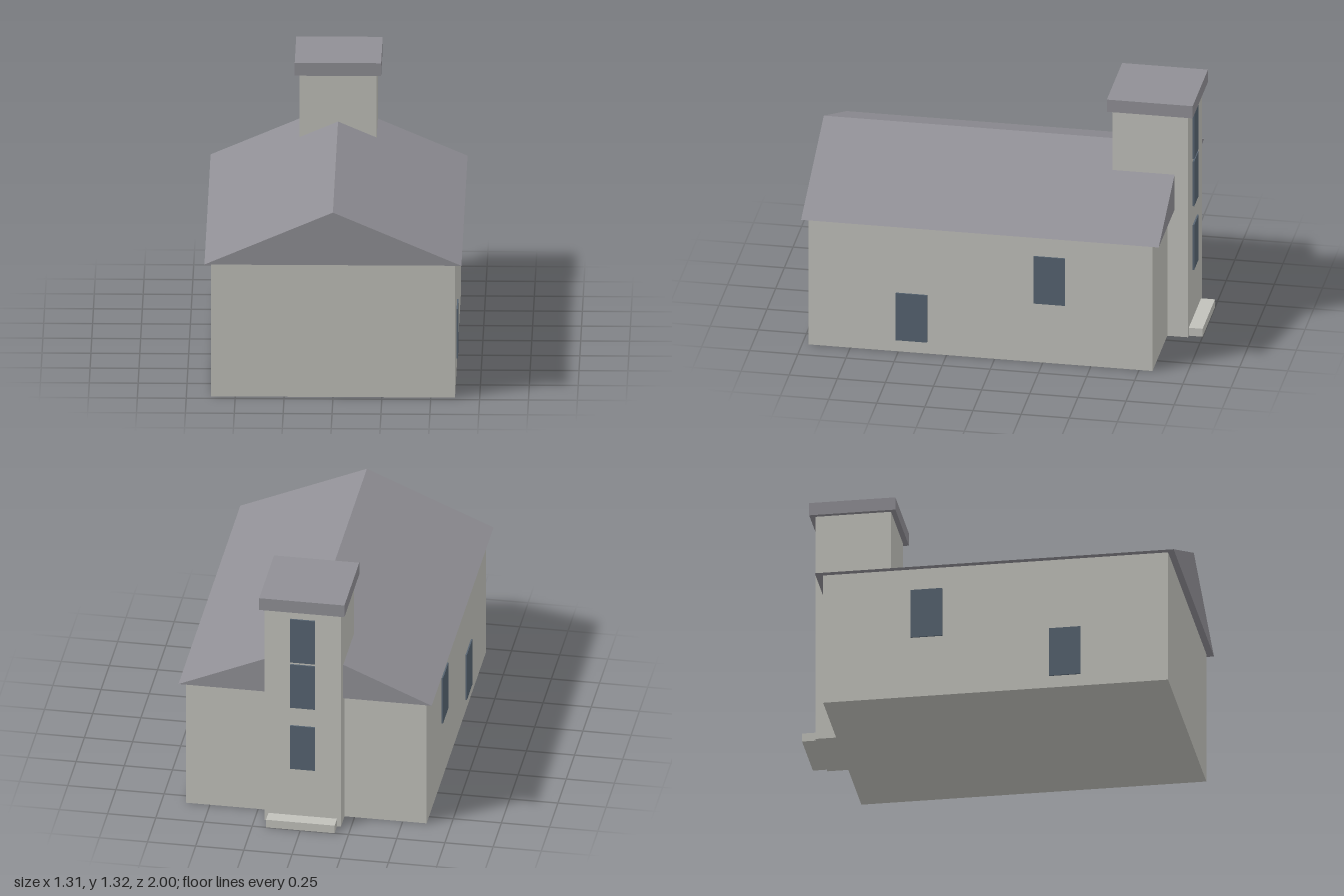
import * as THREE from 'three';

export function createModel() {
  const house = new THREE.Group();
  house.name = 'house';

  const mat = (name, color) => {
    const m = new THREE.MeshStandardMaterial({ color });
    m.name = name;
    return m;
  };
  const wall = mat('wall', 0xc0c0ba);
  const roof = mat('roof', 0x908f95);
  const glass = mat('glass', 0x566370);

  // Box given by its limits on each axis
  const box = (name, material, [x0, x1], [y0, y1], [z0, z1]) => {
    const mesh = new THREE.Mesh(new THREE.BoxGeometry(x1 - x0, y1 - y0, z1 - z0), material);
    mesh.position.set((x0 + x1) / 2, (y0 + y1) / 2, (z0 + z1) / 2);
    mesh.name = name;
    house.add(mesh);
  };

  // Main hall
  box('hallWalls', wall, [-0.624, 0.624], [0, 0.718], [-0.82, 0.966]);

  // Solid gable roof with a small overhang
  const gable = new THREE.Shape();
  gable.moveTo(-0.657, 0.718);
  gable.lineTo(0.657, 0.718);
  gable.lineTo(0, 1);
  gable.closePath();
  const gableGeo = new THREE.ExtrudeGeometry(gable, { depth: 1.858, bevelEnabled: false });
  gableGeo.translate(0, 0, -0.858);
  const gableRoof = new THREE.Mesh(gableGeo, roof);
  gableRoof.name = 'gableRoof';
  house.add(gableRoof);

  // Stair tower with flat cap and doorstep at the back
  box('tower', wall, [-0.198, 0.198], [0, 1.255], [-0.928, -0.536]);
  box('towerCap', roof, [-0.221, 0.221], [1.253, 1.322], [-0.956, -0.51]);
  box('doorstep', wall, [-0.178, 0.178], [0, 0.045], [-1, -0.928]);

  // Tower windows
  for (const y of [0.32, 0.68, 0.947]) {
    box('towerWindow', glass, [-0.064, 0.064], [y, y + 0.254], [-0.936, -0.927]);
  }

  // Side windows, the same on both sides
  for (const [y, z] of [[0.065, 0.35], [0.333, -0.366]]) {
    box('sideWindow', glass, [0.623, 0.631], [y, y + 0.267], [z, z + 0.163]);
    box('sideWindow', glass, [-0.631, -0.623], [y, y + 0.267], [z, z + 0.163]);
  }

  return house;
}
